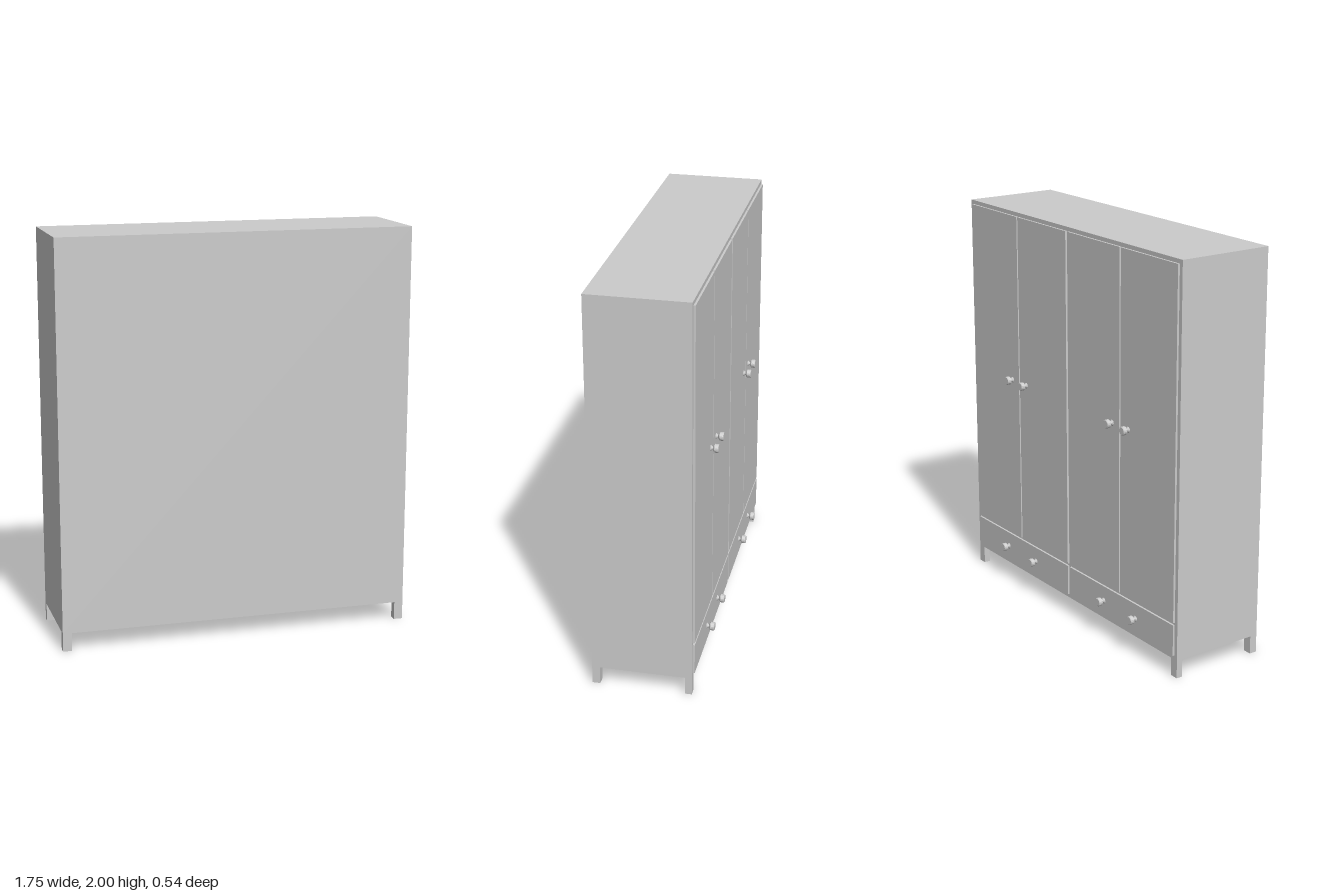
import * as THREE from 'three';

export function createModel() {
  const model = new THREE.Group();
  const mat = new THREE.MeshStandardMaterial({ color: 0xcccccc });
  const back = -0.219; // cabinet face that carries the doors

  const add = (name, geometry, x, y, z) => {
    const mesh = new THREE.Mesh(geometry, mat);
    mesh.name = name;
    mesh.position.set(x, y, z);
    model.add(mesh);
    return mesh;
  };
  // Box given by its minimum and maximum corners
  const box = (name, x0, x1, y0, y1, z0, z1) =>
    add(name, new THREE.BoxGeometry(x1 - x0, y1 - y0, z1 - z0),
      (x0 + x1) / 2, (y0 + y1) / 2, (z0 + z1) / 2);

  // Carcass
  box('cabinetBody', -0.876, 0.876, 0.09, 2, back, 0.268);

  // Legs at the four corners
  for (const x of [-0.854, 0.854])
    for (const z of [back + 0.016, 0.268 - 0.019]) {
      const depth = z < 0 ? 0.032 : 0.038;
      box('leg', x - 0.022, x + 0.022, 0, 0.09, z - depth / 2, z + depth / 2);
    }

  // Turned knob: flared foot, narrow waist, wide head
  const profile = [[0, 0], [0.015, 0], [0.008, 0.008], [0.008, 0.011], [0.017, 0.016],
    [0.021, 0.02], [0.021, 0.036], [0.018, 0.039], [0, 0.039]];
  const knobGeometry = new THREE.LatheGeometry(
    profile.map(([r, h]) => new THREE.Vector2(r, h)), 16).toNonIndexed();
  knobGeometry.computeVertexNormals();
  const knob = (name, x, y) => {
    add(name, knobGeometry, x, y, back - 0.01).rotation.x = -Math.PI / 2;
  };

  // Two door pairs, each above a wide drawer
  const front = back - 0.01;
  for (const side of [-1, 1]) {
    const panel = (name, a, b, y0, y1) =>
      box(name, Math.min(a * side, b * side), Math.max(a * side, b * side), y0, y1, front, back);
    panel('innerDoor', 0.009, 0.428, 0.278, 1.98);
    panel('outerDoor', 0.437, 0.856, 0.278, 1.98);
    panel('drawerFront', 0.009, 0.856, 0.11, 0.266);
    for (const x of [0.37, 0.498]) knob('doorKnob', x * side, 1.128);
    for (const x of [0.302, 0.562]) knob('drawerKnob', x * side, 0.19);
  }
  return model;
}
